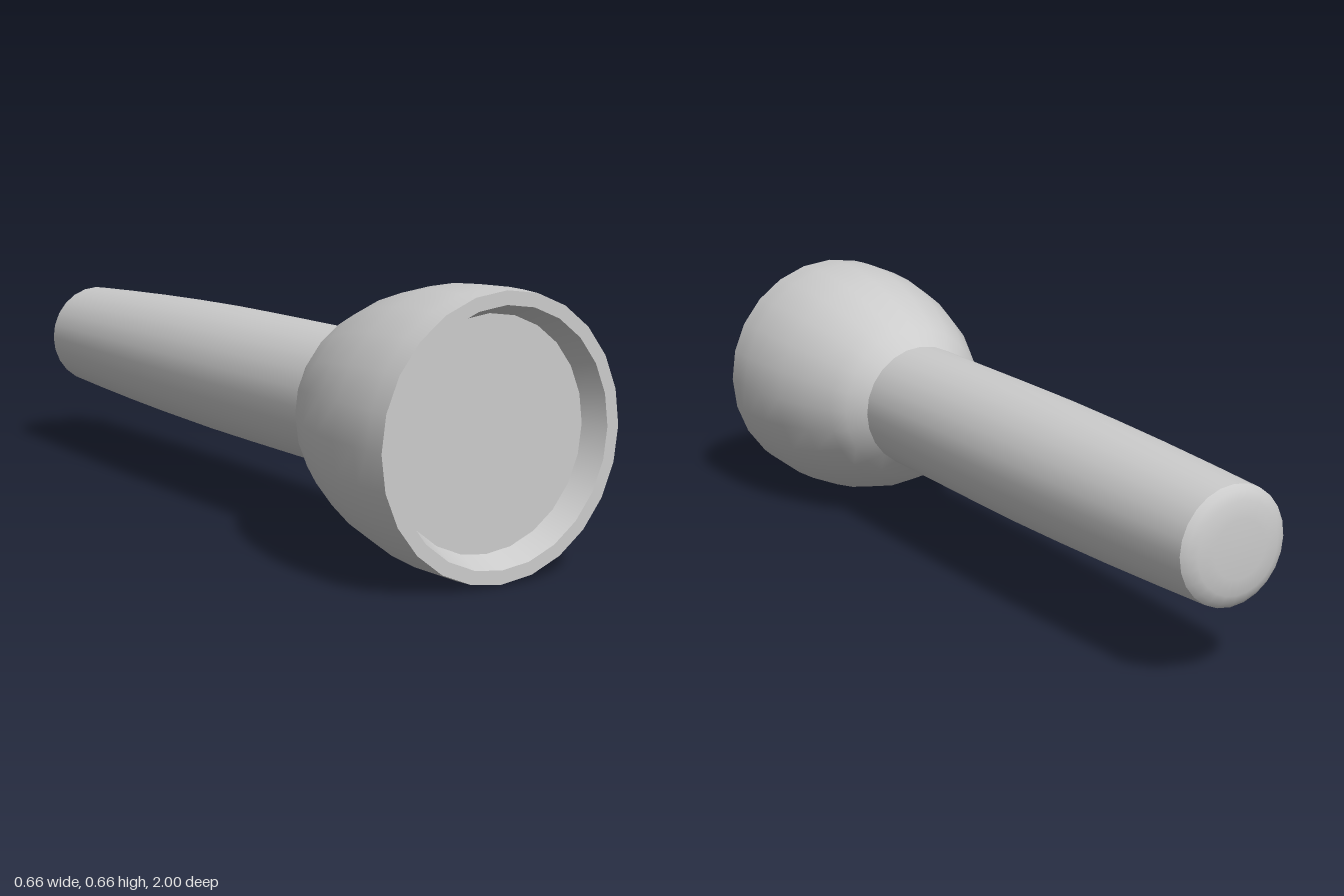
import * as THREE from 'three';

const SIDES = 24;
const AXIS_HEIGHT = 0.33;

// Revolves [radius, z] pairs about the long axis; list them back to front for outward faces.
function turned(name, profile, material) {
  const points = profile.map(([r, z]) => new THREE.Vector2(r, z));
  const mesh = new THREE.Mesh(new THREE.LatheGeometry(points, SIDES), material);
  mesh.name = name;
  mesh.rotation.x = Math.PI / 2;
  mesh.position.y = AXIS_HEIGHT;
  return mesh;
}

export function createModel() {
  const model = new THREE.Group();
  model.name = 'flashlight';
  const grey = new THREE.MeshStandardMaterial({ color: 0xcccccc });

  // Separate profiles keep the edges between parts crisp.
  model.add(
    // rounded tail
    turned('endCap', [[0, -1], [0.07, -1], [0.11, -0.993], [0.13, -0.984], [0.143, -0.972]], grey),
    // grip, tapering towards the tail
    turned('handle', [[0.143, -0.972], [0.151, -0.8], [0.159, -0.6], [0.165, -0.4], [0.169, -0.2], [0.17, 0], [0.17, 0.445]], grey),
    // bell-shaped head
    turned('head', [[0.17, 0.44], [0.212, 0.485], [0.24, 0.53], [0.279, 0.62], [0.308, 0.72], [0.324, 0.81], [0.33, 0.9], [0.329, 0.95], [0.326, 1]], grey),
    // flat front rim
    turned('rim', [[0.326, 1], [0.294, 1]], grey),
    // recess wall narrowing to the lens
    turned('recess', [[0.294, 1], [0.27, 0.94]], grey),
    turned('lens', [[0.27, 0.94], [0, 0.94]], grey),
  );
  return model;
}
